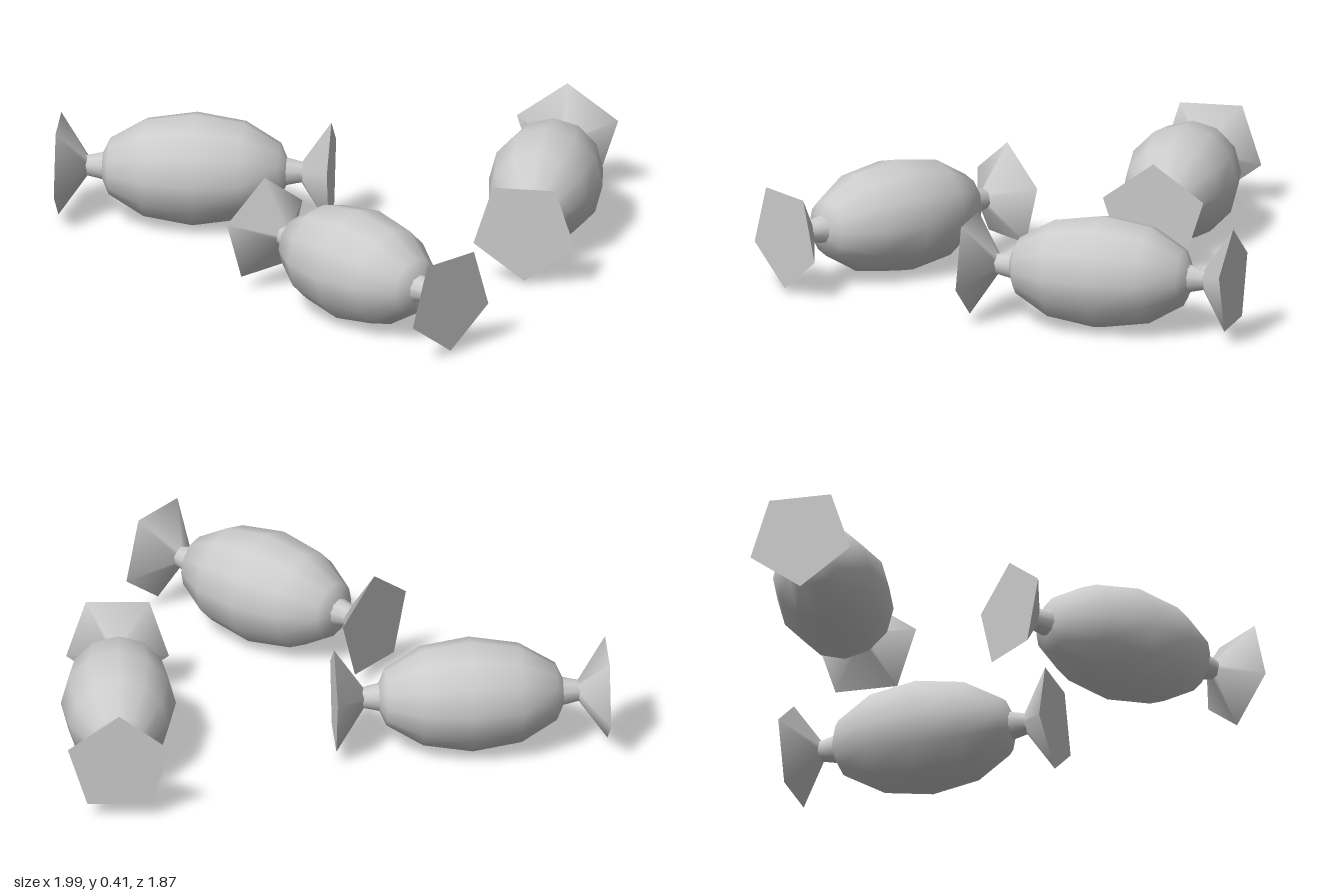
import * as THREE from 'three';

const BODY_RADIUS = 0.2025;
const BODY_HALF = 0.347;

const wrapperGrey = new THREE.MeshStandardMaterial({ color: 0xcccccc });
wrapperGrey.name = 'wrapperGrey';

function part(name, geometry) {
  const mesh = new THREE.Mesh(geometry, wrapperGrey);
  mesh.name = name;
  return mesh;
}

// Tapered section along +x, from radius r0 at x0 to radius r1 at x1, one corner up
function taper(x0, r0, x1, r1, sides) {
  return new THREE.CylinderGeometry(r1, r0, x1 - x0, sides)
    .rotateZ(-Math.PI / 2)
    .rotateX(-Math.PI / 2)
    .translate((x0 + x1) / 2, 0, 0);
}

// Twisted wrapper end: short neck and five-sided fan
function createTwist(name) {
  const twist = new THREE.Group();
  twist.name = name;
  twist.add(part('neck', taper(0.315, 0.052, 0.385, 0.036, 10)));
  twist.add(part('fan', taper(0.365, 0.018, 0.482, 0.19, 5)));
  return twist;
}

function createCandy(name) {
  const candy = new THREE.Group();
  candy.name = name;

  // Plump body with its poles along x
  const body = new THREE.SphereGeometry(1, 12, 6)
    .rotateZ(-Math.PI / 2)
    .scale(BODY_HALF, BODY_RADIUS, BODY_RADIUS);
  candy.add(part('body', body));

  // Second twist is turned half round, so its fan points down
  const upperTwist = createTwist('upperTwist');
  const lowerTwist = createTwist('lowerTwist');
  lowerTwist.rotation.z = Math.PI;
  candy.add(upperTwist, lowerTwist);
  return candy;
}

export function createModel() {
  const model = new THREE.Group();
  model.name = 'wrappedCandies';

  // x, z and heading in degrees
  const layout = [
    ['leftCandy', -0.485, 0.037, 22.7],
    ['frontCandy', 0.462, 0.603, 160.6],
    ['backCandy', 0.668, -0.422, 108.8],
  ];
  for (const [name, x, z, heading] of layout) {
    const candy = createCandy(name);
    candy.position.set(x, 0.207, z);
    candy.rotation.y = THREE.MathUtils.degToRad(heading);
    model.add(candy);
  }
  return model;
}
